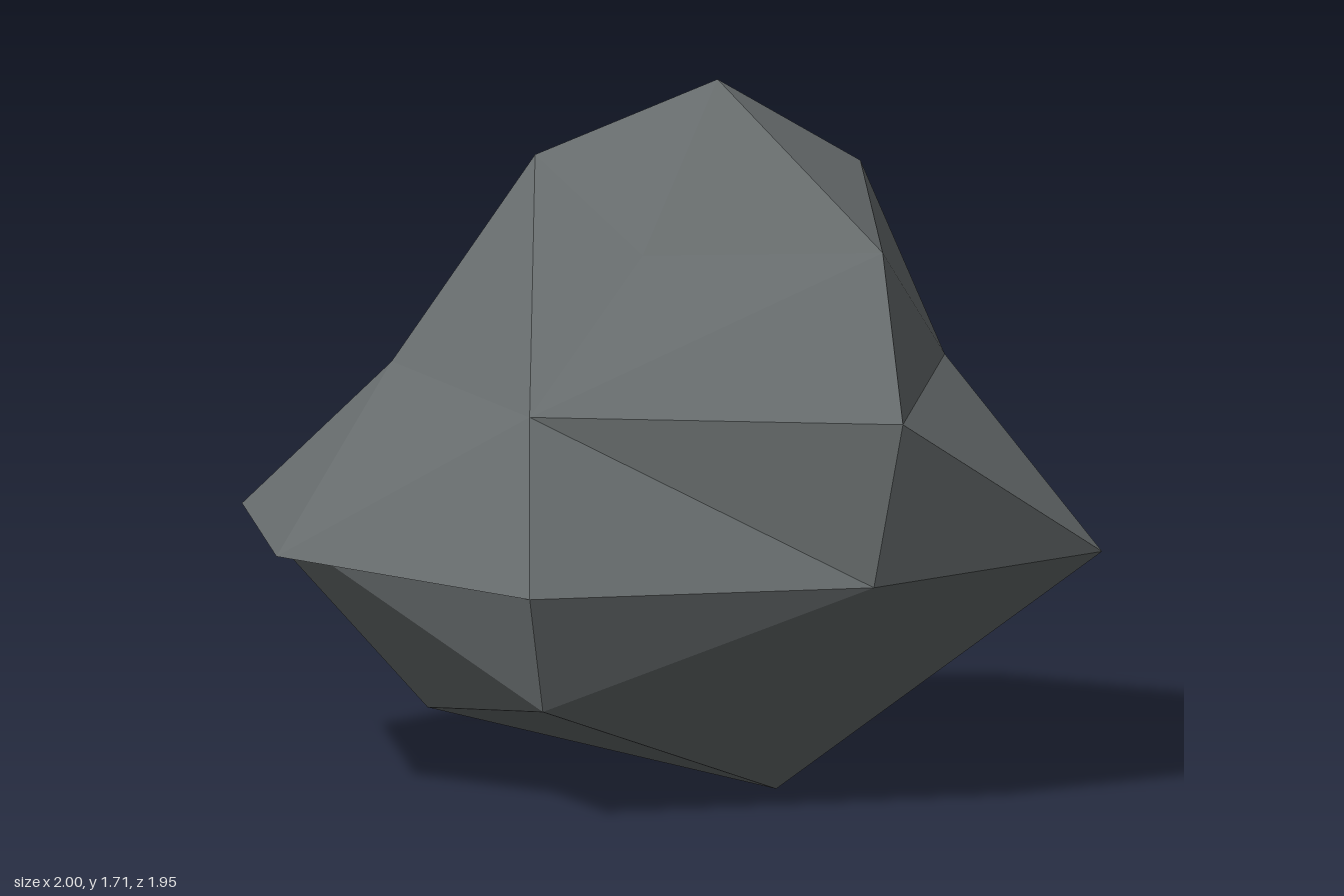
import * as THREE from 'three';

// Corners of the boulder, from the peak down to the base
const corners = {
  H: [0.26, 1.71, -0.06],
  // shoulder
  I: [0.25, 1.5, -0.43], G: [0.6, 1.5, 0.05], R: [0.45, 1.35, 0.54],
  S: [-0.02, 1.31, 0.12], J: [-0.11, 1.5, -0.35],
  // waist
  F: [0.82, 1.0, 0.07], P: [0.32, 0.99, 0.97], N: [-0.49, 0.99, 0.5],
  K: [-0.49, 1.0, -0.37], B: [0.31, 0.91, -0.79], D: [0.66, 0.85, -0.53],
  // widest rim
  E: [1.0, 0.59, -0.42], Q: [0.92, 0.61, 0.83], T: [0.25, 0.58, 0.95],
  O: [-0.61, 0.58, 0.78], M: [-1.0, 0.61, 0.09], L: [-0.78, 0.62, -0.64],
  A: [-0.09, 0.54, -0.98], X: [0.24, 0.34, -0.79],
  // underside
  Y: [0.48, 0.3, -0.18], V: [-0.54, 0.28, 0.7], W: [-0.44, 0.14, -0.26], U: [0.2, 0, 0.45],
};

// Each fan of facets: a hub corner, then the rim corners around it
const fans = [
  'H IGRSJI', 'N SRPTOMKJS', 'F GRPQEDBG', 'B GIJKLAXD', 'L KMOVWA',
  'Y EQUXE', 'U QTVWX', 'T PQ', 'T OV', 'W AX', 'D EX',
];

function boulderGeometry() {
  const core = new THREE.Vector3(0.05, 0.7, 0);
  const point = (name) => new THREE.Vector3(...corners[name]);
  const positions = [];
  for (const fan of fans) {
    const [hub, rim] = fan.split(' ');
    for (let i = 0; i < rim.length - 1; i++) {
      const a = point(hub), b = point(rim[i]), c = point(rim[i + 1]);
      // wind every facet so that it faces away from the core
      const normal = b.clone().sub(a).cross(c.clone().sub(a));
      const facet = normal.dot(a.clone().sub(core)) > 0 ? [a, b, c] : [a, c, b];
      facet.forEach((p) => positions.push(p.x, p.y, p.z));
    }
  }
  const geometry = new THREE.BufferGeometry();
  geometry.setAttribute('position', new THREE.Float32BufferAttribute(positions, 3));
  geometry.computeVertexNormals(); // unshared corners give flat facets
  return geometry;
}

export function createModel() {
  const stone = new THREE.MeshStandardMaterial({ color: 0x666b6c });
  stone.name = 'stone grey';
  stone.flatShading = true;

  const boulder = new THREE.Mesh(boulderGeometry(), stone);
  boulder.name = 'boulder';

  const group = new THREE.Group();
  group.name = 'rock';
  group.add(boulder);
  return group;
}
